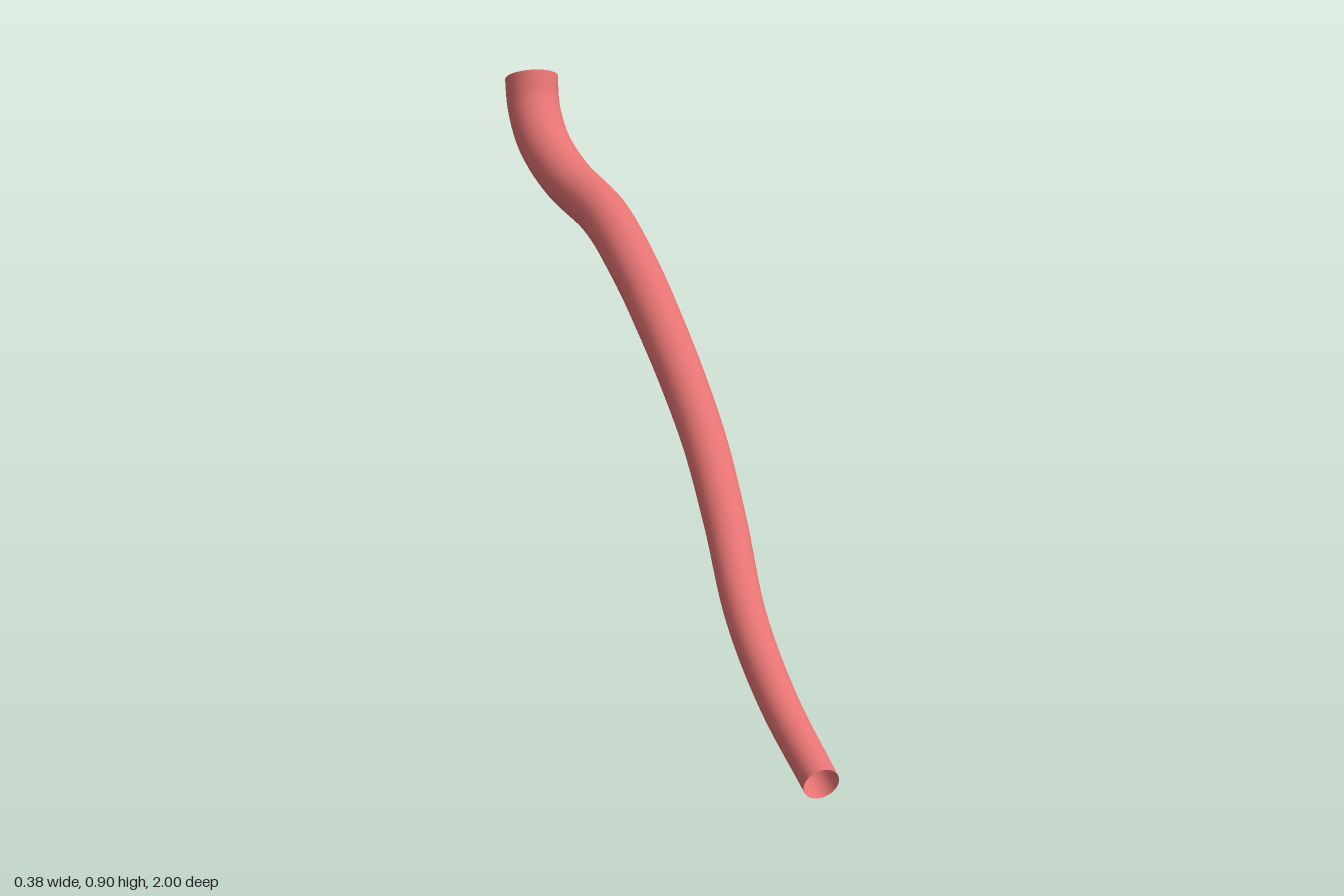
import * as THREE from 'three';

// Open tube along a curve whose radius grows evenly from start to end
function taperedTube(curve, startRadius, endRadius, segments, sides) {
  const geometry = new THREE.TubeGeometry(curve, segments, 1, sides, false);
  const position = geometry.attributes.position;
  const center = new THREE.Vector3();
  const vertex = new THREE.Vector3();
  for (let i = 0; i <= segments; i++) {
    const t = i / segments;
    const radius = THREE.MathUtils.lerp(startRadius, endRadius, t);
    curve.getPointAt(t, center);
    for (let j = 0; j <= sides; j++) {
      const k = i * (sides + 1) + j;
      vertex.fromBufferAttribute(position, k).sub(center).multiplyScalar(radius).add(center);
      position.setXYZ(k, vertex.x, vertex.y, vertex.z);
    }
  }
  return geometry;
}

export function createModel() {
  const group = new THREE.Group();
  group.name = 'vessel';

  // Centre line from the narrow low front end to the wide raised back end
  const path = new THREE.CatmullRomCurve3([
    [0.16, 0.029, 0.989],
    [0.121, 0.1, 0.8],
    [0.098, 0.18, 0.6],
    [0.093, 0.28, 0.4],
    [0.086, 0.366, 0.2],
    [0.072, 0.435, 0],
    [0.052, 0.502, -0.2],
    [0.026, 0.57, -0.4],
    [-0.015, 0.641, -0.6],
    [-0.078, 0.694, -0.745],
    [-0.117, 0.755, -0.85],
    [-0.132, 0.82, -0.915],
    [-0.134, 0.879, -0.943],
  ].map((p) => new THREE.Vector3(...p)));

  const material = new THREE.MeshStandardMaterial({ color: 0xe57373, side: THREE.DoubleSide });
  const tube = new THREE.Mesh(taperedTube(path, 0.03, 0.057, 96, 32), material);
  tube.name = 'vesselWall';
  group.add(tube);
  return group;
}
